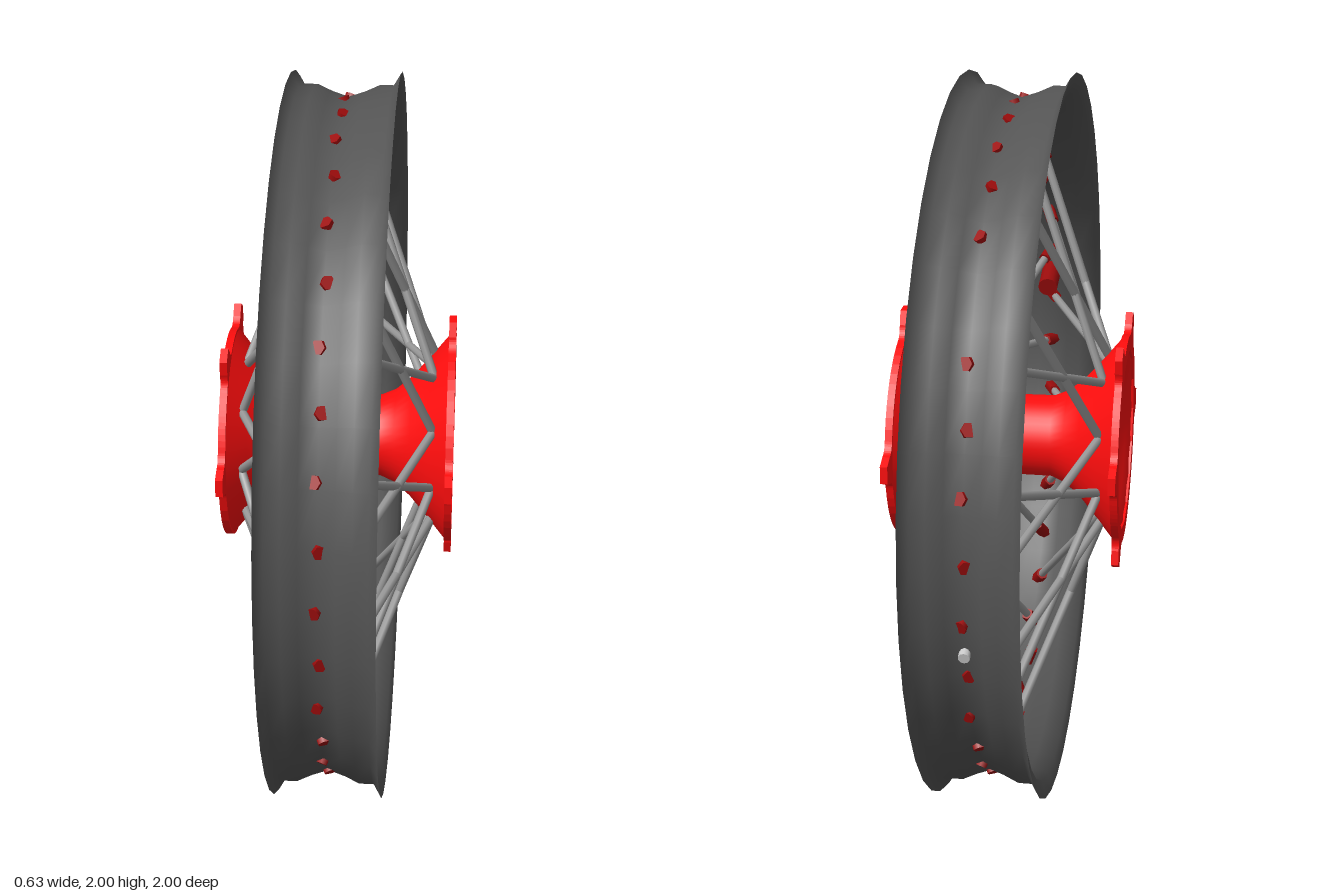
import * as THREE from 'three';
import { toCreasedNormals, mergeGeometries } from 'three/addons/utils/BufferGeometryUtils.js';

const mat = (color) => new THREE.MeshStandardMaterial({ color });
const RIM = mat(0x555555), RED = mat(0xff0d0d), DARK_RED = mat(0x9c0c0c);
const STEEL = mat(0x999999), AXLE = mat(0x333333), VALVE = mat(0xdddddd);
const rad = THREE.MathUtils.degToRad;

function add(parent, name, geometry, material) {
  const mesh = new THREE.Mesh(geometry, material);
  mesh.name = name;
  parent.add(mesh);
  return mesh;
}

// Lathe turned around the x axis; points are [radius, x]
function turned(points, segments, crease) {
  const g = new THREE.LatheGeometry(points.map(([r, x]) => new THREE.Vector2(r, x)), segments);
  g.rotateZ(-Math.PI / 2);
  return toCreasedNormals(g, crease);
}

// Point on the wheel: angle runs from +z towards +y
const polar = (r, a, x = 0) => new THREE.Vector3(x, r * Math.sin(a), r * Math.cos(a));

// Cylinder between two points
function rod(from, to, radius, sides) {
  const dir = to.clone().sub(from);
  const g = new THREE.CylinderGeometry(radius, radius, dir.length(), sides);
  g.applyQuaternion(new THREE.Quaternion().setFromUnitVectors(
    new THREE.Vector3(0, 1, 0), dir.normalize()));
  const mid = from.clone().add(to).multiplyScalar(0.5);
  return g.translate(mid.x, mid.y, mid.z);
}

// Thin flange disc with tapered tabs at the given angles and an open middle
function flangeGeometry(tabAngles) {
  const shape = new THREE.Shape();
  const at = (r, a) => [r * Math.cos(a), r * Math.sin(a)];
  const root = 0.24, foot = 0.12, tip = 0.068;
  const angles = tabAngles.map(rad);
  shape.moveTo(...at(0.29, angles[0] - root));
  angles.forEach((a, i) => {
    shape.quadraticCurveTo(...at(0.293, a - foot - 0.02), ...at(0.32, a - foot));
    shape.lineTo(...at(0.356, a - tip));
    shape.lineTo(...at(0.356, a + tip));
    shape.lineTo(...at(0.32, a + foot));
    shape.quadraticCurveTo(...at(0.293, a + foot + 0.02), ...at(0.29, a + root));
    const next = angles[i + 1] ?? angles[0] + Math.PI * 2;
    for (let k = 1; k <= 10; k++) {
      shape.lineTo(...at(0.29, a + root + ((next - a - 2 * root) * k) / 10));
    }
  });
  const hole = new THREE.Path();
  hole.absarc(0, 0, 0.25, 0, Math.PI * 2, true);
  shape.holes.push(hole);
  const g = new THREE.ExtrudeGeometry(shape, { depth: 0.02, bevelEnabled: false, curveSegments: 8 });
  return g.translate(0, 0, -0.01).rotateY(Math.PI / 2);
}

export function createModel() {
  const model = new THREE.Group();
  model.name = 'spokedWheel';
  const wheel = new THREE.Group();
  wheel.name = 'wheel';
  wheel.position.y = 1;
  model.add(wheel);

  // Rim: thin channel with raised lips and a smooth central well
  const outer = [[1, 0.146], [0.963, 0.124], [0.963, 0.085], [0.945, 0.045], [0.93, 0]];
  const inner = [[0.915, 0], [0.923, 0.045], [0.938, 0.085], [0.952, 0.135], [1, 0.146]];
  const flip = (pts) => pts.map(([r, x]) => [r, -x]);
  const rimProfile = [
    ...flip(outer), ...outer.slice(0, -1).reverse(),
    ...inner.slice(0, -1).reverse(), ...flip(inner).slice(1),
  ];
  add(wheel, 'rim', turned(rimProfile, 40, 1.4), RIM);

  // Hub: straight tube flaring into a shallow dished cone at each end
  const flare = [[0.112, 0], [0.113, 0.11], [0.13, 0.15], [0.168, 0.195], [0.225, 0.245], [0.285, 0.295]];
  const dish = [[0.285, 0.312], [0.25, 0.308], [0.215, 0.294], [0.18, 0.272], [0.14, 0.264], [0.09, 0.264]];
  add(wheel, 'hub', turned([
    ...flip(dish).reverse(), ...flip(flare).reverse(), ...flare.slice(1), ...dish,
  ], 40, 0.8), RED);

  // Flanges: four tabs on one side, five of six positions on the other
  add(wheel, 'leftFlange', flangeGeometry([0, 90, 180, 270]), RED).position.x = 0.303;
  add(wheel, 'rightFlange', flangeGeometry([0, 60, 120, 180, 300]), RED).position.x = -0.303;

  // Axle
  add(wheel, 'axle', rod(new THREE.Vector3(-0.282, 0, 0), new THREE.Vector3(0.282, 0, 0), 0.1, 24), AXLE);

  // Spokes and nipples, crossed in alternating directions; one hole is empty
  const spokes = [], nipples = [];
  for (let k = 0; k < 36; k++) {
    if (k === 14) continue;
    const a = rad(k * 10 - 1.2);
    const side = k % 2 === 0 ? 1 : -1;
    const lean = Math.floor(k / 2) % 2 === 0 ? 1 : -1;
    const rimEnd = polar(0.91, a);
    const hubEnd = polar(0.235, a + lean * rad(29), side * 0.255);
    const dir = hubEnd.clone().sub(rimEnd).normalize();
    spokes.push(rod(rimEnd, hubEnd, 0.012, 8));
    nipples.push(rod(rimEnd.clone().addScaledVector(dir, -0.028),
      rimEnd.clone().addScaledVector(dir, 0.048), 0.019, 6));
  }
  add(wheel, 'spokes', mergeGeometries(spokes), STEEL);
  add(wheel, 'nipples', mergeGeometries(nipples), DARK_RED);

  // Rim lock and valve stem
  const lock = rad(14), valve = rad(194);
  add(wheel, 'rimLock', rod(polar(0.925, lock), polar(0.8, lock), 0.03, 12), DARK_RED);
  add(wheel, 'valveStem', rod(polar(0.95, valve), polar(0.85, valve), 0.015, 10), VALVE);

  return model;
}
